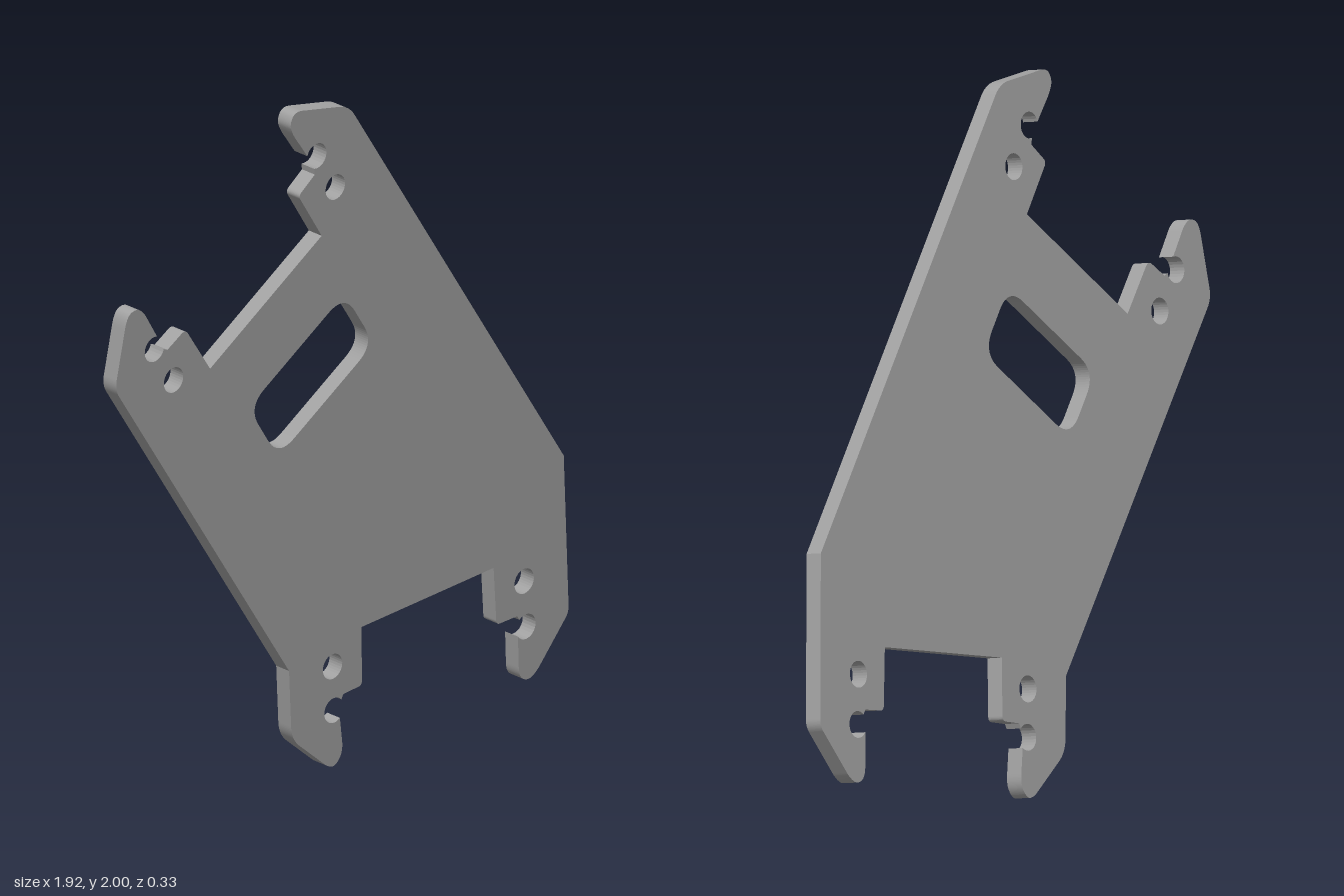
import * as THREE from 'three';

const TILT = 0.138;            // lean of the plate about the x axis
const THICK = 0.052;
const HOLE_R = 0.038;
const rad = THREE.MathUtils.degToRad;

// upright position to position within the leaning plate
const flat = (x, y) => new THREE.Vector2(x, (y - 1) / Math.cos(TILT));

// A hook seat: an open round notch, as points counter-clockwise from a0 to a1 degrees
function seat(cx, cy, a0, a1) {
  const c = flat(cx, cy), pts = [];
  for (let i = 0; i <= 20; i++) {
    const a = rad(a0 + (a1 - a0) * i / 20);
    pts.push({ p: new THREE.Vector2(c.x + HOLE_R * Math.cos(a), c.y + HOLE_R * Math.sin(a)), r: 0 });
  }
  return pts;
}

// Corners with an optional rounding distance
const corners = (...list) => list.map(([x, y, r = 0]) => ({ p: flat(x, y), r }));

// Draw a closed path through the points, rounding the marked corners
function trace(path, pts) {
  const n = pts.length;
  pts.forEach(({ p, r }, i) => {
    const toward = (q) => p.clone().add(q.clone().sub(p).setLength(Math.min(r, q.distanceTo(p) * 0.5)));
    const a = r ? toward(pts[(i + n - 1) % n].p) : p;
    if (i === 0) path.moveTo(a.x, a.y);
    else path.lineTo(a.x, a.y);
    if (r) {
      const b = toward(pts[(i + 1) % n].p);
      path.quadraticCurveTo(p.x, p.y, b.x, b.y);
    }
  });
  path.closePath();
  return path;
}

export function createModel() {
  const group = new THREE.Group();
  const grey = new THREE.MeshStandardMaterial({ color: 0xa0a0a0 });
  grey.name = 'plate grey';

  // Outline, clockwise from the upper arm
  const outline = trace(new THREE.Shape(), [
    ...corners([-0.35, 2.003, 0.03], [-0.135, 1.985, 0.04], [0.877, 0.79], [0.962, 0.315, 0.02],
      [0.856, 0.156, 0.02], [0.825, 0.135, 0.03], [0.788, 0.15, 0.03]),
    ...seat(0.795, 0.299, 222, 500),                       // lower right hook
    ...corners([0.755, 0.336], [0.675, 0.323, 0.015], [0.64, 0.497], [0.13, 0.405],
      [0.157, 0.23, 0.015], [0.085, 0.215]),
    ...seat(0.054, 0.172, 48, 315),                        // lower left hook
    ...corners([0.107, 0.045, 0.03], [0.085, 0.004, 0.03], [0.055, 0.004, 0.02],
      [-0.105, 0.11, 0.04], [-0.144, 0.32], [-0.963, 1.28, 0.03],
      [-0.945, 1.495, 0.04], [-0.91, 1.512, 0.03], [-0.88, 1.497, 0.02]),
    ...seat(-0.821, 1.378, 82, 352),                       // upper left hook
    ...corners([-0.768, 1.368], [-0.704, 1.418, 0.02], [-0.588, 1.283], [-0.192, 1.611],
      [-0.302, 1.745, 0.015], [-0.245, 1.8]),
    ...seat(-0.245, 1.855, 262, 532),                      // upper hook
    ...corners([-0.35, 1.934, 0.02], [-0.367, 1.966, 0.03]),
  ]);

  // Round bolt holes, one beside each hook
  for (const [x, y] of [[-0.157, 1.749], [-0.731, 1.273], [0.03, 0.305], [0.769, 0.437]]) {
    const c = flat(x, y);
    outline.holes.push(new THREE.Path().absarc(c.x, c.y, HOLE_R, 0, Math.PI * 2, false));
  }

  // Slanted window with rounded corners
  const c = flat(-0.176, 1.196), turn = rad(39.7);
  const win = [[-1, -1], [1, -1], [1, 1], [-1, 1]].map(([u, v]) => ({
    p: new THREE.Vector2(u * 0.222, v * 0.11).rotateAround(new THREE.Vector2(), turn).add(c), r: 0.075,
  }));
  outline.holes.push(trace(new THREE.Path(), win));

  // The plate, centred through its thickness and leaning forward
  const geo = new THREE.ExtrudeGeometry(outline, { depth: THICK, bevelEnabled: false, curveSegments: 16 });
  geo.translate(0, 0, -THICK / 2);
  const plate = new THREE.Mesh(geo, grey);
  plate.name = 'mountingPlate';
  plate.rotation.x = TILT;
  plate.position.y = 1;
  group.add(plate);
  return group;
}
